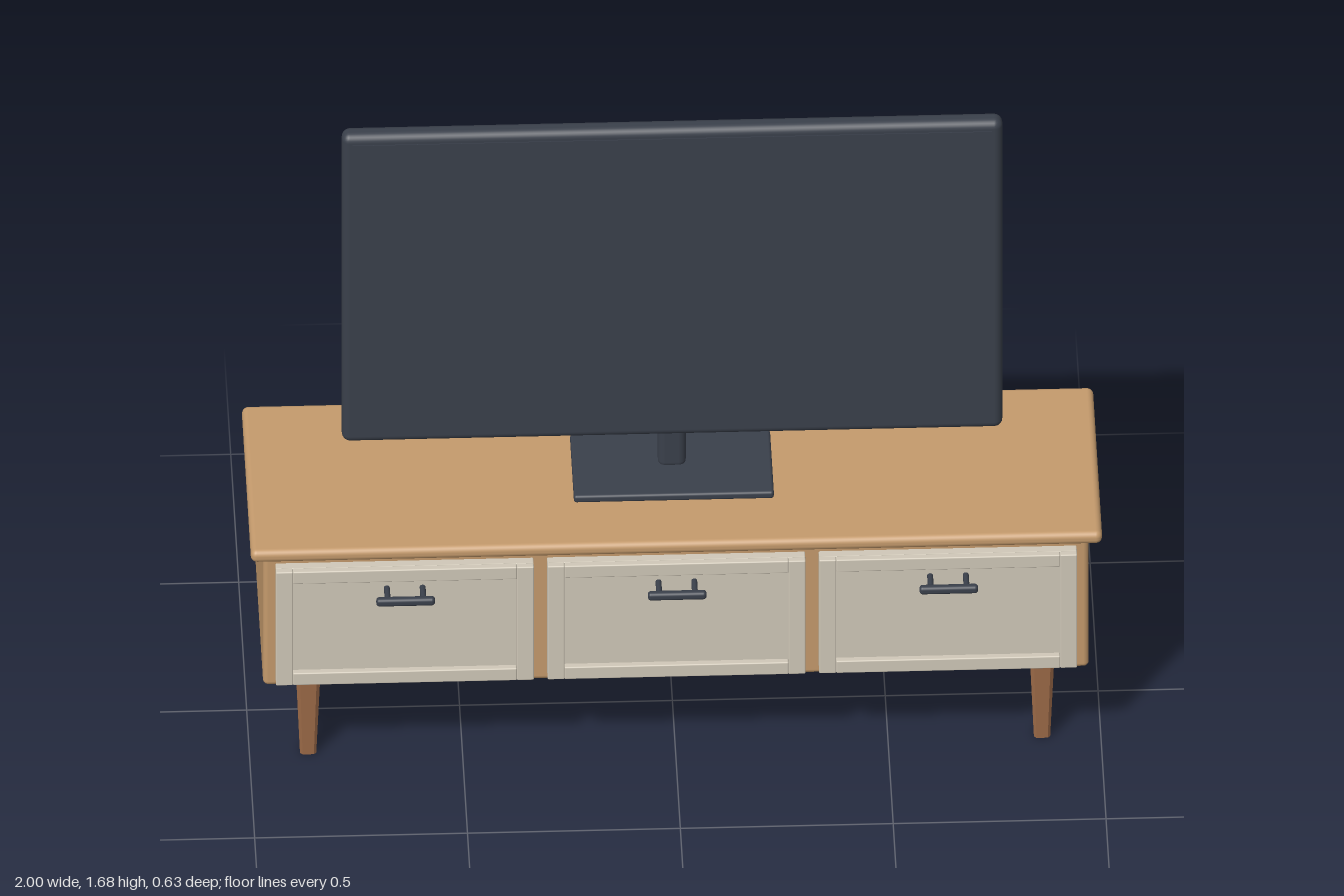
import * as THREE from 'three';
import { RoundedBoxGeometry } from 'three/addons/geometries/RoundedBoxGeometry.js';

const material = (name, color) => {
  const m = new THREE.MeshStandardMaterial({ color });
  m.name = name;
  return m;
};

// Tapered square leg with chamfered corners, from y = 0 up to height
function legGeometry(half, chamfer, height, taper) {
  const a = half, b = half - chamfer;
  const outline = [[a, -b], [a, b], [b, a], [-b, a], [-a, b], [-a, -b], [-b, -a], [b, -a]];
  const shape = new THREE.Shape(outline.map(([x, y]) => new THREE.Vector2(x, y)));
  const g = new THREE.ExtrudeGeometry(shape, { depth: height, bevelEnabled: false });
  g.rotateX(-Math.PI / 2);
  const p = g.attributes.position;
  for (let i = 0; i < p.count; i++) {
    const s = THREE.MathUtils.lerp(taper, 1, p.getY(i) / height);
    p.setXYZ(i, p.getX(i) * s, p.getY(i), p.getZ(i) * s);
  }
  g.computeVertexNormals();
  return g;
}

export function createModel() {
  const wood = material('oak', 0xc49a6c);
  const legWood = material('dark wood', 0x9c6a48);
  const cream = material('cream paint', 0xd0c8b8);
  const dark = material('charcoal', 0x3a404b);

  const add = (parent, name, geometry, mat, x = 0, y = 0, z = 0) => {
    const mesh = new THREE.Mesh(geometry, mat);
    mesh.name = name;
    mesh.position.set(x, y, z);
    parent.add(mesh);
    return mesh;
  };
  // Rounded box given by its min and max on each axis
  const block = (parent, name, mat, [x0, x1], [y0, y1], [z0, z1], r) =>
    add(parent, name, new RoundedBoxGeometry(x1 - x0, y1 - y0, z1 - z0, 3, r), mat,
      (x0 + x1) / 2, (y0 + y1) / 2, (z0 + z1) / 2);
  const group = (parent, name) => {
    const g = new THREE.Group();
    g.name = name;
    parent.add(g);
    return g;
  };

  const model = new THREE.Group();
  model.name = 'televisionOnCabinet';

  // Cabinet
  const cabinet = group(model, 'cabinet');
  block(cabinet, 'cabinetTop', wood, [-1, 1], [0.628, 0.662], [-0.313, 0.267], 0.015);
  block(cabinet, 'cabinetBody', wood, [-0.97, 0.97], [0.24, 0.632], [-0.297, 0.228], 0.013);

  // Legs
  const leg = legGeometry(0.029, 0.009, 0.245, 0.66);
  for (const x of [-0.862, 0.862])
    for (const z of [0.159, -0.229]) add(cabinet, 'leg', leg, legWood, x, 0, z);

  // Drawers: back slab, raised frame and bar handle
  const w = 0.303, y0 = 0.268, y1 = 0.6, stile = 0.04, rail = 0.035;
  for (const x of [-0.638, 0, 0.638]) {
    const drawer = group(cabinet, 'drawer');
    drawer.position.x = x;
    block(drawer, 'drawerPanel', cream, [-w, w], [y0, y1], [0.222, 0.25], 0.003);
    for (const s of [-1, 1]) {
      const c = s * (w - stile / 2);
      block(drawer, 'drawerStile', cream, [c - stile / 2, c + stile / 2], [y0, y1], [0.247, 0.265], 0.003);
    }
    for (const y of [y0, y1 - rail])
      block(drawer, 'drawerRail', cream, [-w + stile, w - stile], [y, y + rail], [0.247, 0.265], 0.003);

    const handle = group(drawer, 'handle');
    block(handle, 'handleBar', dark, [-0.069, 0.069], [0.528, 0.549], [0.295, 0.315], 0.008);
    for (const s of [-1, 1]) {
      const post = add(handle, 'handlePost', new THREE.CylinderGeometry(0.007, 0.007, 0.06, 12), dark,
        s * 0.042, 0.538, 0.275);
      post.rotation.x = Math.PI / 2;
    }
  }

  // Television
  const tv = group(model, 'television');
  block(tv, 'standBase', dark, [-0.235, 0.235], [0.66, 0.68], [-0.148, 0.1], 0.007);
  block(tv, 'standNeck', dark, [-0.033, 0.033], [0.67, 0.802], [-0.058, -0.014], 0.018);
  block(tv, 'screenHousing', dark, [-0.776, 0.776], [0.777, 1.677], [-0.047, 0.003], 0.02);
  add(tv, 'screen', new THREE.BoxGeometry(1.502, 0.835, 0.004), dark, 0, 1.235, 0.003);

  return model;
}
